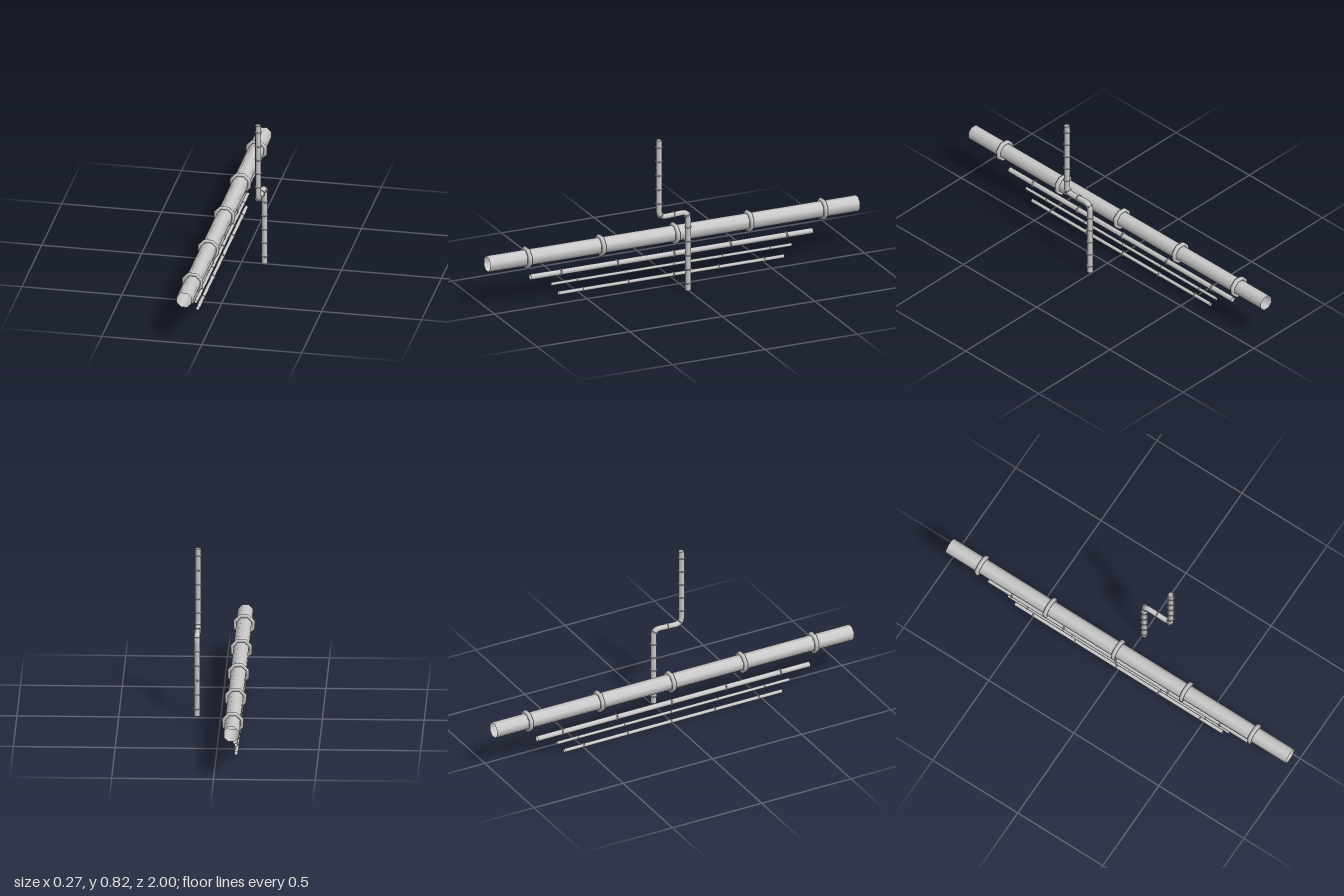
import * as THREE from 'three';

const SIDES = 8;
const material = new THREE.MeshStandardMaterial({ color: 0xcccccc, side: THREE.DoubleSide });

function addMesh(parent, name, geometry) {
  const mesh = new THREE.Mesh(geometry, material);
  mesh.name = name;
  parent.add(mesh);
  return mesh;
}

// Eight-sided collar around the z axis, with flats at top, bottom and sides
function collarGeometry(radius, thickness, depth = 1) {
  return new THREE.TorusGeometry(radius, thickness, 6, SIDES)
    .rotateZ(Math.PI / SIDES)
    .scale(1, 1, depth);
}

// Straight open pipe along z, with five evenly spaced collars
function straightPipe({ name, x, y, length, radius, collar, thickness, spacing }) {
  const group = new THREE.Group();
  group.name = name;
  group.position.set(x, y, 0);
  const body = new THREE.CylinderGeometry(radius, radius, length, SIDES, 1, true)
    .rotateY(Math.PI / SIDES)
    .rotateX(Math.PI / 2);
  addMesh(group, 'pipeBody', body);
  const ring = collarGeometry(collar, thickness, 1.25);
  for (let i = -2; i <= 2; i++) {
    addMesh(group, 'collar', ring).position.z = -0.012 + i * spacing;
  }
  return group;
}

// Upright pipe with a double bend
function bentPipe() {
  const group = new THREE.Group();
  group.name = 'bentPipe';
  const x = 0.116, z0 = 0.008, z1 = 0.165, bend = 0.035;
  const v = (y, z) => new THREE.Vector3(x, y, z);
  const lowCorner = v(0.422, z0), highCorner = v(0.418, z1);
  const a = v(0.422 - bend, z0), b = v(0.422, z0 + bend);
  const c = v(0.418, z1 - bend), d = v(0.418 + bend, z1);

  const path = new THREE.CurvePath();
  path.add(new THREE.LineCurve3(v(0.012, z0), a));
  path.add(new THREE.QuadraticBezierCurve3(a, lowCorner, b));
  path.add(new THREE.LineCurve3(b, c));
  path.add(new THREE.QuadraticBezierCurve3(c, highCorner, d));
  path.add(new THREE.LineCurve3(d, v(0.825, z1)));
  addMesh(group, 'pipeBody', new THREE.TubeGeometry(path, 160, 0.0148, SIDES, false));

  // Collars: mirrored from both ends, then one at each bend and one midway
  const total = path.getLength();
  const stops = [0.5];
  for (let i = 0; i < 6; i++) {
    const u = (0.038 + i * (i < 5 ? 0.0735 : 0.072)) / total;
    stops.push(u, 1 - u);
  }
  const ring = collarGeometry(0.0172, 0.0026);
  const forward = new THREE.Vector3(0, 0, 1);
  for (const u of stops) {
    const collar = addMesh(group, 'collar', ring);
    collar.position.copy(path.getPoint(u));
    collar.quaternion.setFromUnitVectors(forward, path.getTangent(u).normalize());
  }
  return group;
}

export function createModel() {
  const model = new THREE.Group();
  model.name = 'pipeSet';
  const pipes = [
    { name: 'largePipe', x: -0.088, y: 0.236, length: 2, radius: 0.0405, collar: 0.0475, thickness: 0.0095, spacing: 0.4 },
    { name: 'mediumPipe', x: -0.098, y: 0.126, length: 1.525, radius: 0.0142, collar: 0.0165, thickness: 0.0032, spacing: 0.305 },
    { name: 'thinPipe', x: -0.098, y: 0.071, length: 1.3, radius: 0.0082, collar: 0.0092, thickness: 0.0018, spacing: 0.261 },
    { name: 'lowPipe', x: -0.098, y: 0.017, length: 1.22, radius: 0.0095, collar: 0.0115, thickness: 0.0025, spacing: 0.245 },
  ];
  for (const pipe of pipes) model.add(straightPipe(pipe));
  model.add(bentPipe());
  return model;
}
